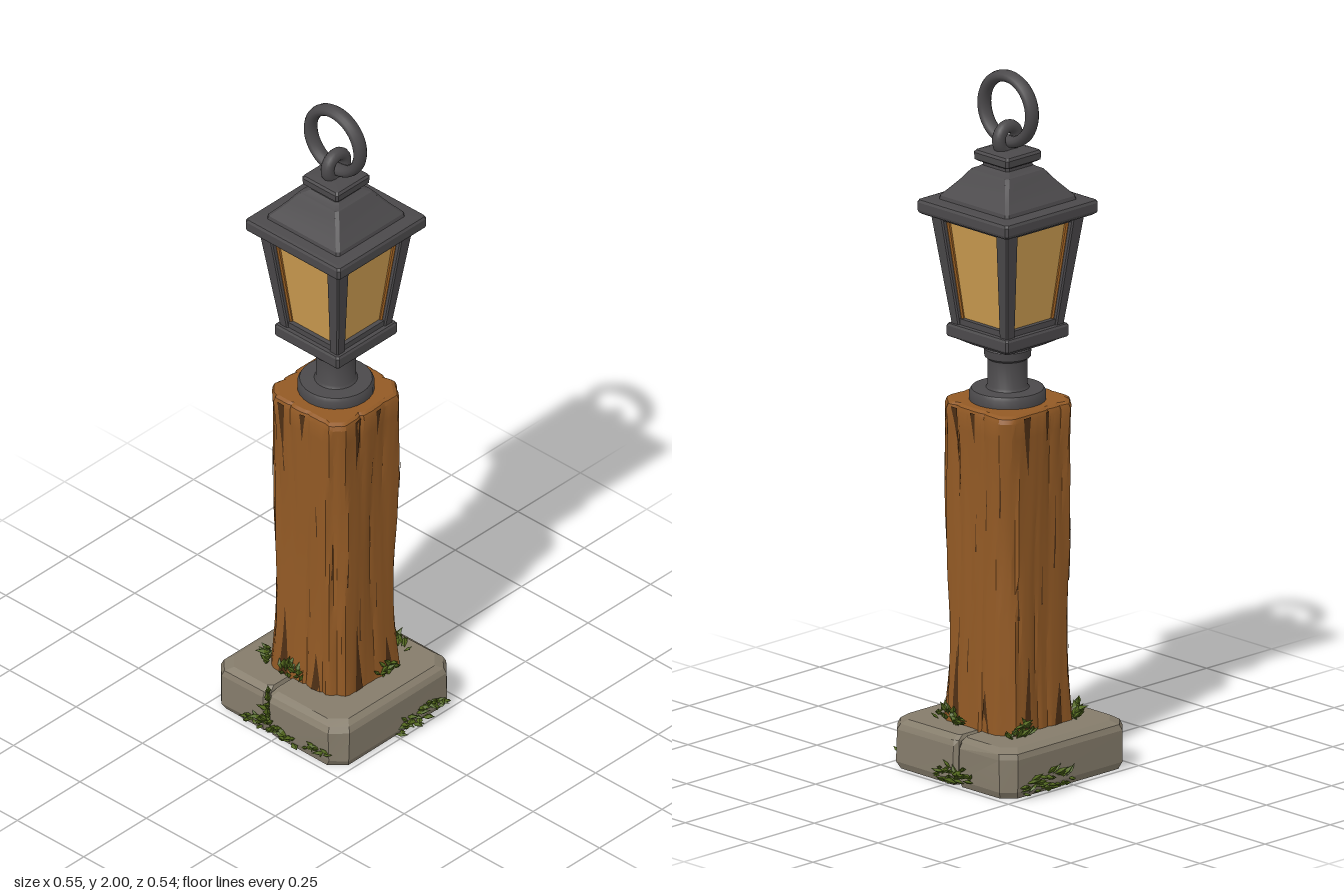
import * as THREE from 'three';
import { mergeGeometries, toCreasedNormals } from 'three/addons/utils/BufferGeometryUtils.js';

const mat = (name, color) => Object.assign(new THREE.MeshStandardMaterial({ color }), { name });

let seed = 7;
const rnd = (a = 0, b = 1) => {
  seed = (seed * 16807) % 2147483647;
  return a + (b - a) * (seed / 2147483647);
};

// Closed solid through rings of [x, y, z] points, bottom to top, counterclockwise from above
function loft(rings, crease = 0.4) {
  const n = rings[0].length, m = rings.length, pos = [], idx = [];
  rings.forEach(r => r.forEach(p => pos.push(...p)));
  for (const r of [rings[0], rings[m - 1]]) {
    const c = [0, 0, 0];
    r.forEach(p => p.forEach((v, k) => { c[k] += v / n; }));
    pos.push(...c);
  }
  for (let i = 0; i < n; i++) {
    const k = (i + 1) % n;
    for (let j = 0; j < m - 1; j++) {
      const a = j * n + i, b = j * n + k;
      idx.push(a, b, b + n, a, b + n, a + n);
    }
    idx.push(m * n, k, i, m * n + 1, (m - 1) * n + i, (m - 1) * n + k);
  }
  const g = new THREE.BufferGeometry();
  g.setAttribute('position', new THREE.Float32BufferAttribute(pos, 3));
  g.setIndex(idx);
  return toCreasedNormals(g, crease);
}

// Rectangle with cut corners: cl on the -x side, cr on the +x side
const rect = (y, x0, x1, z0, z1, cl, cr = cl) => [
  [x1, y, z1 - cr], [x1, y, z0 + cr], [x1 - cr, y, z0], [x0 + cl, y, z0],
  [x0, y, z0 + cl], [x0, y, z1 - cl], [x0 + cl, y, z1], [x1 - cr, y, z1]];

// Square solid from [half width, y] pairs
const squareLoft = (profile, cut = 0.006, cx = 0, cz = 0) =>
  loft(profile.map(([h, y]) => rect(y, cx - h, cx + h, cz - h, cz + h, cut)), 0.3);

export function createModel() {
  const root = new THREE.Group();
  root.name = 'lanternPost';
  const metal = mat('dark iron', 0x4b494b);
  const wood = mat('brown wood', 0x935a25);
  const crackMat = mat('dark wood crack', 0x4f3015);
  const stone = mat('grey stone', 0x857c6b);
  const glass = mat('amber glass', 0xcc9c50);
  const lipMat = mat('dark amber', 0x9a5f22);
  const moss = mat('moss green', 0x50651c);
  const add = (name, geo, material, parent = root) => {
    const mesh = new THREE.Mesh(geo, material);
    mesh.name = name;
    parent.add(mesh);
    return mesh;
  };

  // Cracked stone base: two worn blocks side by side
  const block = (name, x0, x1, cl, cr) => {
    const side = [[0.008, 0], [0, 0.02], [0, 0.112], [0.006, 0.128], [0.024, 0.14]];
    const rings = side.map(([d, y]) => {
      const dl = x0 < -0.1 ? d : d * 0.25, dr = x1 > 0.1 ? d : d * 0.25;
      return rect(y, x0 + dl, x1 - dr, -0.24 + d, 0.233 - d, cl, cr)
        .map(([x, h, z]) => [x + rnd(-0.002, 0.002), h, z + rnd(-0.003, 0.003)]);
    });
    add(name, loft(rings, 0.25), stone);
  };
  block('stoneBlockRight', -0.24, -0.037, 0.036, 0.012);
  block('stoneBlockLeft', -0.032, 0.238, 0.012, 0.04);
  add('stoneCore', new THREE.BoxGeometry(0.1, 0.12, 0.42).translate(-0.03, 0.061, -0.004), stone);

  // Weathered timber: a chamfered square with wandering vertical grooves
  const grooves = [];
  for (let i = 0; i < 17; i++) grooves.push([i / 17 * Math.PI * 2 + rnd(-0.1, 0.1), rnd(0.02, 0.065), rnd(0, 6)]);
  const surf = (t, y, scale = 1) => {
    const c = Math.cos(t), s = Math.sin(t), v = (y - 0.14) / 0.915;
    const half = 0.133 + 0.013 * v ** 4 + 0.009 * (1 - v) ** 4;
    let r = half / Math.max(Math.abs(c), Math.abs(s), (Math.abs(c) + Math.abs(s)) / (1.73 + 0.06 * Math.sin(y * 9 + t * 2)));
    r *= 1 + 0.012 * Math.sin(3 * t + 7 * y) + 0.01 * Math.sin(8 * t - 4 * y);
    for (const [g, depth, phase] of grooves) {
      const d = Math.abs(Math.atan2(Math.sin(t - g), Math.cos(t - g)) + 0.05 * Math.sin(y * 6 + phase));
      r *= 1 - depth * Math.max(0, 1 - d / 0.07) * (0.6 + 0.4 * Math.cos(y * 5 + phase));
    }
    return [c * r * scale, y, -s * r * scale - 0.006];
  };
  const N = 96, postRings = [];
  const ringAt = (y, k) => Array.from({ length: N }, (_, i) => surf(i / N * Math.PI * 2, y, k));
  for (let j = 0; j <= 18; j++) postRings.push(ringAt(0.13 + j * 0.0505, 1));
  postRings.push(ringAt(1.052, 0.965), ringAt(1.058, 0.9));
  add('timberPost', loft(postRings, 0.45), wood);

  // Dark splits lying on the timber, tapering from y0 to y1
  const split = (t, y0, y1, w) => {
    const pos = [], idx = [], rows = 6;
    for (let j = 0; j <= rows; j++) {
      const f = j / rows, y = y0 + (y1 - y0) * f, a = t + 0.02 * Math.sin(y * 14 + t);
      const half = w * (1 - f) * 3.6 + 0.003;
      pos.push(...surf(a - half, y, 1.014), ...surf(a + half, y, 1.014));
      if (j < rows) {
        const k = j * 2;
        if (y1 > y0) idx.push(k, k + 1, k + 3, k, k + 3, k + 2);
        else idx.push(k, k + 3, k + 1, k, k + 2, k + 3);
      }
    }
    const g = new THREE.BufferGeometry();
    g.setAttribute('position', new THREE.Float32BufferAttribute(pos, 3));
    g.setIndex(idx);
    g.computeVertexNormals();
    return g;
  };
  const splits = [];
  for (let q = 0; q < 4; q++) {
    const t = -Math.PI / 2 + q * Math.PI / 2;
    splits.push(split(t - 0.42, 1.048, 0.88, 0.02), split(t + 0.08, 1.048, 0.96, 0.016),
      split(t - 0.4, 0.14, 0.36, 0.022), split(t + 0.38, 0.14, 0.26, 0.026));
    for (let i = 0; i < 6; i++) {
      const y = rnd(0.25, 0.85);
      splits.push(split(t + rnd(-0.7, 0.7), y, y + rnd(0.07, 0.18), 0.0035));
    }
  }
  add('timberSplits', mergeGeometries(splits), crackMat);

  // Lantern
  const lantern = new THREE.Group();
  lantern.name = 'lantern';
  lantern.position.set(-0.001, 0, -0.009);
  root.add(lantern);
  const turned = pts => toCreasedNormals(new THREE.LatheGeometry(pts.map(p => new THREE.Vector2(...p)), 28), 0.6);
  add('collarAndNeck', turned([[0, 1.045], [0.104, 1.045], [0.106, 1.052], [0.106, 1.08], [0.1, 1.09], [0.06, 1.092],
    [0.055, 1.1], [0.055, 1.175], [0.064, 1.182], [0.066, 1.205], [0.06, 1.215], [0.06, 1.235]]), metal, lantern);
  add('lanternFloor', squareLoft([[0.07, 1.212], [0.105, 1.232], [0.119, 1.238], [0.121, 1.243], [0.121, 1.268],
    [0.117, 1.274], [0.102, 1.276], [0.1, 1.29]]), metal, lantern);
  add('glassPanes', squareLoft([[0.09, 1.27], [0.126, 1.595]], 0.002), glass, lantern);

  // Leaning corner bars with an amber lip along the panes
  const bar = (sx, sz, low, high, hl, hh) => loft([[low, hl, 1.272], [high, hh, 1.6]].map(([c, h, y]) =>
    rect(y, sx * c - h, sx * c + h, sz * c - h, sz * c + h, 0.004)), 0.3);
  for (const sx of [-1, 1]) for (const sz of [-1, 1]) {
    add('cornerBar', bar(sx, sz, 0.094, 0.129, 0.016, 0.023), metal, lantern);
    add('paneLip', bar(sx, sz, 0.085, 0.119, 0.0125, 0.0185), lipMat, lantern);
  }
  // Rails above and below each pane
  for (let q = 0; q < 4; q++) {
    const side = new THREE.Group();
    side.name = 'paneRails';
    side.rotation.y = q * Math.PI / 2;
    lantern.add(side);
    add('topRail', new THREE.BoxGeometry(0.25, 0.025, 0.025).translate(0, 1.588, 0.132), metal, side);
    add('bottomRail', new THREE.BoxGeometry(0.18, 0.022, 0.02).translate(0, 1.281, 0.096), metal, side);
  }

  // Roof: eaves slab, flared hood and cap
  add('eaves', squareLoft([[0.168, 1.588], [0.176, 1.594], [0.178, 1.6], [0.178, 1.622], [0.174, 1.629], [0.166, 1.632]], 0.007),
    metal, lantern);
  add('hood', squareLoft([[0.137, 1.63], [0.134, 1.642], [0.118, 1.66], [0.097, 1.685], [0.083, 1.705], [0.073, 1.718],
    [0.06, 1.724], [0.052, 1.73], [0.052, 1.75]], 0.008), metal, lantern);
  add('cap', squareLoft([[0.06, 1.742], [0.067, 1.747], [0.068, 1.766], [0.063, 1.773], [0.045, 1.778]], 0.006), metal, lantern);

  // Hanging loop and ring
  add('loop', new THREE.TorusGeometry(0.034, 0.019, 12, 28).rotateY(Math.PI / 2).translate(0, 1.806, 0), metal, lantern);
  add('ring', new THREE.TorusGeometry(0.0935, 0.0165, 12, 44).scale(1, 1, 1.3).translate(0, 1.89, 0.002), metal, lantern);

  // Moss: leafy tufts scattered from a to b, leaning along out
  const leaves = [];
  const tuft = (a, b, out, count, rise, height = 0.03) => {
    const o = new THREE.Object3D();
    for (let i = 0; i < count; i++) {
      const f = (i + rnd(0, 0.9)) / count, swell = 0.5 + 0.5 * Math.sin(f * Math.PI);
      const size = rnd(0.018, 0.027) * (0.6 + 0.4 * swell);
      const dir = new THREE.Vector3(out[0] + rnd(-0.8, 0.8), rise + rnd(-0.15, 0.5), out[1] + rnd(-0.8, 0.8)).normalize();
      o.position.set(0, 0, 0);
      o.lookAt(dir);
      o.position.set(a[0] + (b[0] - a[0]) * f, a[1] + (b[1] - a[1]) * f + rnd(0, height) * swell, a[2] + (b[2] - a[2]) * f)
        .addScaledVector(dir, size * 0.5);
      o.position.y = Math.max(o.position.y, 0.008);
      o.scale.set(size * 0.5, size * 0.3, size);
      o.updateMatrix();
      leaves.push(new THREE.OctahedronGeometry(1).applyMatrix4(o.matrix));
    }
  };
  // around the foot of the stone
  tuft([-0.11, 0.008, 0.234], [0.07, 0.008, 0.234], [0, 0.7], 32, 0.15, 0.045);
  tuft([0.11, 0.015, 0.232], [0.2, 0.035, 0.232], [0, 0.25], 10, 0.2, 0.02);
  tuft([-0.1, 0.008, -0.243], [0.04, 0.008, -0.243], [0, -0.7], 26, 0.15, 0.05);
  tuft([-0.242, 0.008, -0.19], [-0.242, 0.008, 0], [-0.8, 0], 34, 0.15, 0.05);
  tuft([0.24, 0.008, -0.19], [0.24, 0.008, 0], [0.8, 0], 34, 0.15, 0.05);
  // creeping up the crack
  tuft([-0.035, 0.02, 0.23], [-0.035, 0.14, 0.225], [0, 0.3], 14, 0.6, 0.01);
  // around the foot of the post
  tuft([-0.07, 0.142, 0.142], [0.01, 0.142, 0.142], [0, 0.3], 14, 0.8, 0.045);
  tuft([-0.16, 0.142, 0.09], [-0.12, 0.142, 0.145], [-0.3, 0.3], 10, 0.5);
  tuft([-0.15, 0.142, -0.15], [-0.165, 0.142, -0.07], [-0.5, 0], 14, 0.5);
  tuft([0.01, 0.142, -0.16], [0.12, 0.142, -0.165], [0, -0.5], 18, 0.5, 0.04);
  tuft([0.15, 0.142, -0.09], [0.15, 0.142, -0.02], [0.4, 0], 12, 0.6, 0.035);
  add('moss', mergeGeometries(leaves), moss);

  return root;
}
